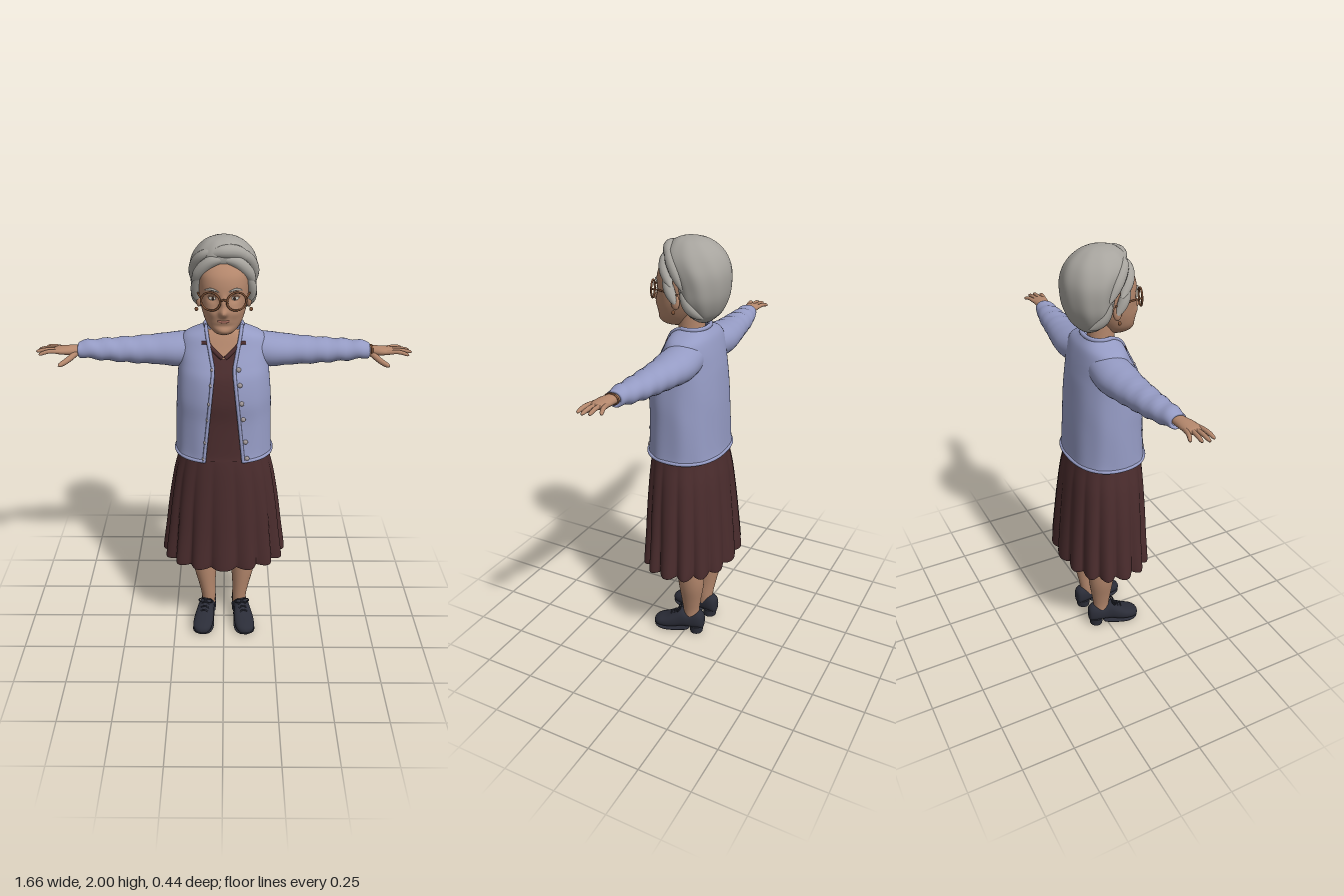
import * as THREE from 'three';

const mat = (name, color, side = THREE.FrontSide) => {
  const m = new THREE.MeshStandardMaterial({ color, side });
  m.name = name;
  return m;
};
const TAU = Math.PI * 2;
const V = (p) => new THREE.Vector3(...p);
const bell = (d, s) => Math.exp(-(d * d) / (s * s));

// Smooth interpolation through profile rows [along, rx, zFront, zBack, xCentre]
function rowAt(rows, t) {
  const n = rows.length - 1, k = t * n, i = Math.min(Math.floor(k), n - 1), f = k - i;
  const r = (j) => rows[Math.max(0, Math.min(n, j))];
  return r(i).map((b, c) => {
    const a = r(i - 1)[c], d = r(i + 1)[c], e = r(i + 2)[c];
    return b + 0.5 * f * (d - a + f * (2 * a - 5 * b + 4 * d - e + f * (3 * (b - d) + e - a)));
  });
}
// Point on a rounded section; angle 0 faces the front, growing towards +x
function ring([y, rx, zF, zB, cx = 0], a, grow = 1, p = 2) {
  const s = Math.sin(a), c = Math.cos(a), e = 2 / p;
  return [cx + grow * rx * Math.sign(s) * Math.abs(s) ** e, y,
    (zF + zB) / 2 + grow * (zF - zB) / 2 * Math.sign(c) * Math.abs(c) ** e];
}
// Surface from fn(u, v): u runs around, v upwards
function grid(nu, nv, fn, closed = true) {
  const pos = [], idx = [], w = closed ? nu : nu + 1;
  for (let j = 0; j <= nv; j++) for (let i = 0; i < w; i++) pos.push(...fn(i / nu, j / nv));
  for (let j = 0; j < nv; j++) for (let i = 0; i < nu; i++) {
    const a = j * w + i, b = j * w + (i + 1) % w;
    idx.push(a, b, b + w, a, b + w, a + w);
  }
  const g = new THREE.BufferGeometry();
  g.setAttribute('position', new THREE.Float32BufferAttribute(pos, 3));
  g.setIndex(idx);
  g.computeVertexNormals();
  return g;
}
const loft = (rows, nu = 28, nv = 28, p = 2) => grid(nu, nv, (u, v) => ring(rowAt(rows, v), u * TAU, 1, p));

// Tube along points with a radius rule
function strand(pts, radius, rule = () => 1, seg = 20, sides = 10) {
  const curve = new THREE.CatmullRomCurve3(pts.map(V));
  const g = new THREE.TubeGeometry(curve, seg, radius, sides), P = g.attributes.position, q = new THREE.Vector3();
  for (let i = 0; i < P.count; i++) {
    const t = Math.floor(i / (sides + 1)) / seg, c = curve.getPointAt(t);
    q.fromBufferAttribute(P, i).sub(c).multiplyScalar(rule(t)).add(c);
    P.setXYZ(i, q.x, q.y, q.z);
  }
  return g;
}
const lockTaper = (t) => Math.sqrt(Math.max(0, Math.sin(Math.PI * t)));
const fingerTaper = (t) => (1 - 0.2 * t) * Math.sqrt(Math.max(0, 1 - t ** 10));
const ball = (x, y, z, rx, ry, rz) => new THREE.SphereGeometry(1, 20, 14).scale(rx, ry, rz).translate(x, y, z);

function mirrored(geo) {
  const g = geo.clone().scale(-1, 1, 1), ix = g.index;
  for (let i = 0; i < ix.count; i += 3) {
    const b = ix.getX(i + 1);
    ix.setX(i + 1, ix.getX(i + 2));
    ix.setX(i + 2, b);
  }
  return g;
}

export function createModel() {
  const root = new THREE.Group();
  root.name = 'elderlyWoman';
  const D = THREE.DoubleSide;
  const skin = mat('skin', 0xb4876c), hair = mat('greyHair', 0xa7a49e), wool = mat('blueWool', 0x959bc4, D);
  const dress = mat('maroonCloth', 0x4a2c2d, D), shoe = mat('darkLeather', 0x2b2d38), frame = mat('brownFrame', 0x7d5136);
  const button = mat('button', 0xa39a9c), lip = mat('lips', 0xa0685a), white = mat('eyeWhite', 0xd8d2c8), dark = mat('eyeDark', 0x33251f);
  const add = (name, geo, m) => {
    const mesh = new THREE.Mesh(geo, m);
    mesh.name = name;
    root.add(mesh);
  };
  const both = (name, geo, m) => {
    add(name + 'Left', geo, m);
    add(name + 'Right', mirrored(geo), m);
  };

  // Head with nose, cheeks and eye sockets raised by rule
  const faceRows = [[1.604, 0.004, 0.11, 0.09], [1.608, 0.032, 0.138, 0.05], [1.622, 0.052, 0.16, 0.02], [1.65, 0.074, 0.167, 0],
    [1.69, 0.09, 0.169, -0.03], [1.73, 0.1, 0.168, -0.05], [1.78, 0.105, 0.17, -0.05], [1.83, 0.106, 0.166, -0.05],
    [1.87, 0.103, 0.15, -0.05], [1.91, 0.085, 0.11, -0.04], [1.94, 0.03, 0.05, -0.02]];
  add('face', grid(96, 72, (u, v) => {
    const [x, y, z] = ring(rowAt(faceRows, v), u * TAU, 1, 2.1), ax = Math.abs(x);
    if (Math.cos(u * TAU) <= 0) return [x, y, z];
    const lift = 0.032 * bell(x, 0.017) * bell(y - 1.715, 0.018) + 0.015 * bell(x, 0.015) * bell(y - 1.752, 0.03)
      + 0.009 * bell(ax - 0.05, 0.025) * bell(y - 1.712, 0.025) - 0.013 * bell(ax - 0.043, 0.024) * bell(y - 1.772, 0.016)
      - 0.005 * bell(x, 0.04) * bell(y - 1.655, 0.01) + 0.006 * bell(x, 0.03) * bell(y - 1.63, 0.015);
    return [x, y, z + lift];
  }), skin);
  add('neck', loft([[1.48, 0.08, 0.08, -0.06], [1.56, 0.062, 0.072, -0.055], [1.6, 0.056, 0.072, -0.05], [1.68, 0.055, 0.07, -0.05]]), skin);
  both('ear', ball(0.108, 1.735, 0.035, 0.013, 0.034, 0.02), skin);
  both('earring', ball(0.118, 1.692, 0.04, 0.008, 0.009, 0.008), frame);
  both('eye', ball(0.045, 1.772, 0.148, 0.018, 0.009, 0.008), white);
  both('iris', ball(0.045, 1.772, 0.1525, 0.007, 0.007, 0.005), dark);
  both('eyelid', strand([[0.024, 1.776, 0.152], [0.045, 1.783, 0.154], [0.068, 1.775, 0.142]], 0.004, lockTaper), skin);
  both('brow', strand([[0.02, 1.803, 0.169], [0.05, 1.812, 0.16], [0.08, 1.802, 0.134]], 0.005, lockTaper), hair);
  add('mouth', strand([[-0.032, 1.681, 0.159], [-0.012, 1.676, 0.168], [0.012, 1.676, 0.168], [0.032, 1.681, 0.159]], 0.006, lockTaper), lip);

  // Glasses
  both('glassesRim', new THREE.TorusGeometry(0.04, 0.0045, 8, 32).scale(1.05, 0.95, 1).rotateY(0.33).translate(0.054, 1.765, 0.174), frame);
  both('glassesTemple', strand([[0.094, 1.775, 0.158], [0.106, 1.777, 0.11], [0.114, 1.768, 0.02]], 0.004), frame);
  add('glassesBridge', strand([[-0.014, 1.77, 0.187], [0, 1.777, 0.193], [0.014, 1.77, 0.187]], 0.004), frame);

  // Swept-back hair and its locks
  const hairRows = [[1.635, 0.01, -0.05, -0.07], [1.645, 0.055, -0.02, -0.09], [1.68, 0.1, 0.02, -0.125], [1.74, 0.133, 0.045, -0.152],
    [1.8, 0.144, 0.058, -0.163], [1.86, 0.147, 0.085, -0.163], [1.91, 0.136, 0.118, -0.148], [1.95, 0.112, 0.115, -0.12],
    [1.983, 0.075, 0.085, -0.075], [1.998, 0.03, 0.045, -0.03], [2, 0, 0.01, 0.01]];
  add('hair', grid(72, 44, (u, v) => ring(rowAt(hairRows, v), u * TAU, 1 + 0.013 * Math.sin(9 * u * TAU + 7 * v)), true), hair);
  [[[[-0.01, 1.922, 0.102], [0.05, 1.912, 0.104], [0.1, 1.865, 0.085], [0.127, 1.8, 0.045]], 0.028],
    [[[0.03, 1.95, 0.085], [0.085, 1.93, 0.07], [0.122, 1.87, 0.025], [0.128, 1.79, -0.02]], 0.028],
    [[[0.1, 1.855, 0.085], [0.117, 1.79, 0.06], [0.113, 1.725, 0.03]], 0.024],
    [[[0.122, 1.79, 0.0], [0.112, 1.72, -0.04], [0.07, 1.67, -0.085]], 0.028]]
    .forEach(([pts, r], i) => both('hairLock' + (i + 1), strand(pts, r, lockTaper, 24, 14), hair));
  add('hairSwoop', strand([[-0.06, 1.935, 0.085], [0, 1.952, 0.1], [0.06, 1.945, 0.085], [0.11, 1.9, 0.05]], 0.03, lockTaper, 24, 14), hair);

  // Torso profile shared by cardigan, bodice and chest
  const torso = [[1.02, 0.222, 0.196, -0.16], [1.06, 0.22, 0.19, -0.156], [1.2, 0.217, 0.183, -0.15], [1.3, 0.213, 0.187, -0.145],
    [1.4, 0.205, 0.172, -0.136], [1.46, 0.2, 0.145, -0.127], [1.52, 0.197, 0.112, -0.115], [1.57, 0.175, 0.088, -0.1],
    [1.6, 0.11, 0.07, -0.08], [1.612, 0.082, 0.06, -0.068]];
  const gap = (row) => {
    const w = 0.045 + (row[0] > 1.45 ? (row[0] - 1.45) * 0.2 : (1.45 - row[0]) * 0.1);
    return Math.asin(Math.min(0.95, w / row[1]) ** 1.15);
  };
  const knit = (a, t, grow = 1) => ring(rowAt(torso, t), a, grow, 2.3);
  const edge = (t, side, extra = 0) => knit(side * (gap(rowAt(torso, t)) + extra), t, 1.01);
  add('cardiganBody', grid(96, 48, (u, v) => {
    const a0 = gap(rowAt(torso, v)), a = a0 + u * (TAU - 2 * a0);
    return knit(a, v, 1 + 0.008 * Math.sin(11 * a) * (1 - v) ** 2 + 0.004 * Math.sin(5 * a + 20 * v) * (1 - v));
  }, false), wool);
  const ts = [...Array(19).keys()].map((i) => i / 18);
  both('cardiganPlacket', strand(ts.map((t) => edge(t, 1)), 0.008, undefined, 60, 8), wool);
  const top = gap(torso[9]);
  add('cardiganNeckband', strand(ts.map((t) => knit(top + t * (TAU - 2 * top), 1)), 0.01, undefined, 40, 8), wool);
  const band = [...Array(31).keys()].map((i) => i / 30);
  const hem = gap(torso[0]);
  add('cardiganHem', strand(band.map((t) => knit(hem + t * (TAU - 2 * hem), 0.015)), 0.008, undefined, 80, 8), wool);
  [0.07, 0.16, 0.25, 0.34, 0.43, 0.54].forEach((t, i) => {
    add('button' + (i + 1), ball(...edge(t, 1, 0.09), 0.011, 0.011, 0.008), button);
    add('buttonhole' + (i + 1), ball(...edge(t, -1, 0.02), 0.007, 0.009, 0.011), button);
  });

  // Dress bodice with V neckline, and the chest beneath
  const neckline = (a) => (6.6 - 1.1 * Math.max(0, 1 - Math.abs(a) / 0.35)) / 9;
  add('dressBodice', grid(96, 40, (u, v) => {
    const a = u * TAU;
    return knit(a, v * neckline(a > Math.PI ? a - TAU : a), 0.95);
  }), dress);
  both('dressCollar', strand([0.02, 0.13, 0.24, 0.35, 0.5].map((a) => knit(a, neckline(a), 0.96)), 0.009), dress);
  add('chest', grid(48, 20, (u, v) => knit(u * TAU, (4 + 4.2 * v) / 9, 0.89)), skin);

  // Pleated skirt
  const skirt = [[0.44, 0.297, 0.216, -0.212], [0.455, 0.302, 0.22, -0.217], [0.6, 0.282, 0.212, -0.205], [0.75, 0.262, 0.205, -0.19],
    [0.9, 0.236, 0.196, -0.172], [1.0, 0.21, 0.186, -0.152], [1.06, 0.198, 0.174, -0.14]];
  add('skirt', grid(192, 40, (u, v) => {
    const a = u * TAU, valley = 1 - Math.abs(Math.cos(8 * a));
    const [x, y, z] = ring(rowAt(skirt, v), a, 1 - 0.13 * valley * (1 - v) ** 1.2, 2.2);
    return [x, y + 0.012 * valley * (1 - v) ** 4, z];
  }), dress);

  // Arms: lofted upright, then laid out sideways
  const sideways = (rows, n) => loft(rows.map(([x, r, f, b, cy]) => [x, r, f, b, -cy]), n, 36).rotateZ(-Math.PI / 2);
  const sleeve = sideways([[0.08, 0.078, 0.06, -0.1, 1.5], [0.2, 0.077, 0.075, -0.112, 1.49], [0.3, 0.066, 0.066, -0.1, 1.489],
    [0.4, 0.059, 0.062, -0.08, 1.489], [0.5, 0.051, 0.06, -0.064, 1.492], [0.58, 0.044, 0.058, -0.045, 1.496],
    [0.625, 0.038, 0.055, -0.033, 1.498], [0.645, 0.033, 0.052, -0.022, 1.498], [0.64, 0.02, 0.04, -0.01, 1.498]], 32);
  const sp = sleeve.attributes.position;
  for (let i = 0; i < sp.count; i++) {
    const x = sp.getX(i), fold = 0.0035 * Math.sin(x * 75 + sp.getZ(i) * 30) * Math.min(1, Math.max(0, (x - 0.2) * 4));
    sp.setY(i, sp.getY(i) + fold);
  }
  sleeve.computeVertexNormals();
  both('sleeve', sleeve, wool);

  // Hands
  both('palm', sideways([[0.6, 0.022, 0.046, -0.01, 1.498], [0.65, 0.021, 0.05, -0.008, 1.498], [0.69, 0.02, 0.063, -0.008, 1.499],
    [0.735, 0.015, 0.066, -0.008, 1.5], [0.752, 0.009, 0.058, 0, 1.5], [0.755, 0, 0.03, 0.02, 1.5]], 24), skin);
  [[0.056, 0.815, 0.073, 1.492], [0.037, 0.832, 0.042, 1.497], [0.02, 0.824, 0.012, 1.498], [0.002, 0.796, -0.024, 1.495]]
    .forEach(([z0, x1, z1, y1], i) => both('finger' + (i + 1),
      strand([[0.715, 1.5, z0], [(0.73 + x1) / 2, 1.504, (z0 + z1) / 2], [x1, y1, z1]], 0.0105, fingerTaper), skin));
  both('thumb', strand([[0.65, 1.492, 0.035], [0.69, 1.468, 0.08], [0.727, 1.452, 0.108]], 0.014, fingerTaper), skin);
  add('wristband', new THREE.TorusGeometry(1, 0.12, 8, 28).rotateY(Math.PI / 2).scale(0.04, 0.023, 0.031).translate(0.654, 1.498, 0.021), frame);

  // Legs
  both('leg', loft([[0.07, 0.033, 0.012, -0.065, 0.08], [0.13, 0.036, 0.016, -0.068, 0.08], [0.2, 0.043, 0.022, -0.08, 0.087],
    [0.3, 0.058, 0.03, -0.098, 0.096], [0.4, 0.063, 0.033, -0.1, 0.1], [0.55, 0.064, 0.035, -0.09, 0.1], [0.75, 0.075, 0.05, -0.09, 0.1]]), skin);

  // Shoes: lofted heel to toe, turned slightly outwards
  const place = (g) => g.rotateY(0.17).translate(0.088, 0, 0);
  const along = (rows) => loft(rows.map(([z, r, hi, lo]) => [z, r, -lo, -hi]), 28, 36, 2.4).rotateX(Math.PI / 2);
  both('shoeUpper', place(along([[-0.096, 0, 0.075, 0.06], [-0.092, 0.024, 0.108, 0.03], [-0.065, 0.036, 0.125, 0.026], [-0.02, 0.037, 0.112, 0.024],
    [0.02, 0.04, 0.124, 0.02], [0.06, 0.047, 0.1, 0.012], [0.1, 0.05, 0.076, 0.008], [0.14, 0.045, 0.06, 0.008],
    [0.163, 0.027, 0.046, 0.012], [0.171, 0, 0.03, 0.025]])), shoe);
  both('shoeSole', place(along([[-0.02, 0, 0.02, 0.015], [-0.015, 0.034, 0.03, 0.012], [0.03, 0.042, 0.02, 0.002], [0.08, 0.051, 0.016, 0],
    [0.12, 0.051, 0.016, 0], [0.155, 0.036, 0.02, 0.005], [0.173, 0, 0.02, 0.014]])), shoe);
  both('shoeHeel', place(new THREE.CylinderGeometry(0.038, 0.034, 0.04, 24).scale(1, 1, 0.95).translate(0, 0.02, -0.055)), shoe);
  [-1, 1].forEach((s) => both(s < 0 ? 'innerLaceLoop' : 'outerLaceLoop',
    place(new THREE.TorusGeometry(0.014, 0.0035, 6, 18).scale(1.2, 0.7, 1).rotateX(-0.9).translate(s * 0.018, 0.124, 0.035)), shoe));
  [0.04, 0.058, 0.076].forEach((z, i) => both('lace' + (i + 1),
    place(strand([[-0.028, 0.1 - i * 0.012, z], [0, 0.12 - i * 0.012, z], [0.028, 0.1 - i * 0.012, z]], 0.004)), shoe));

  return root;
}
